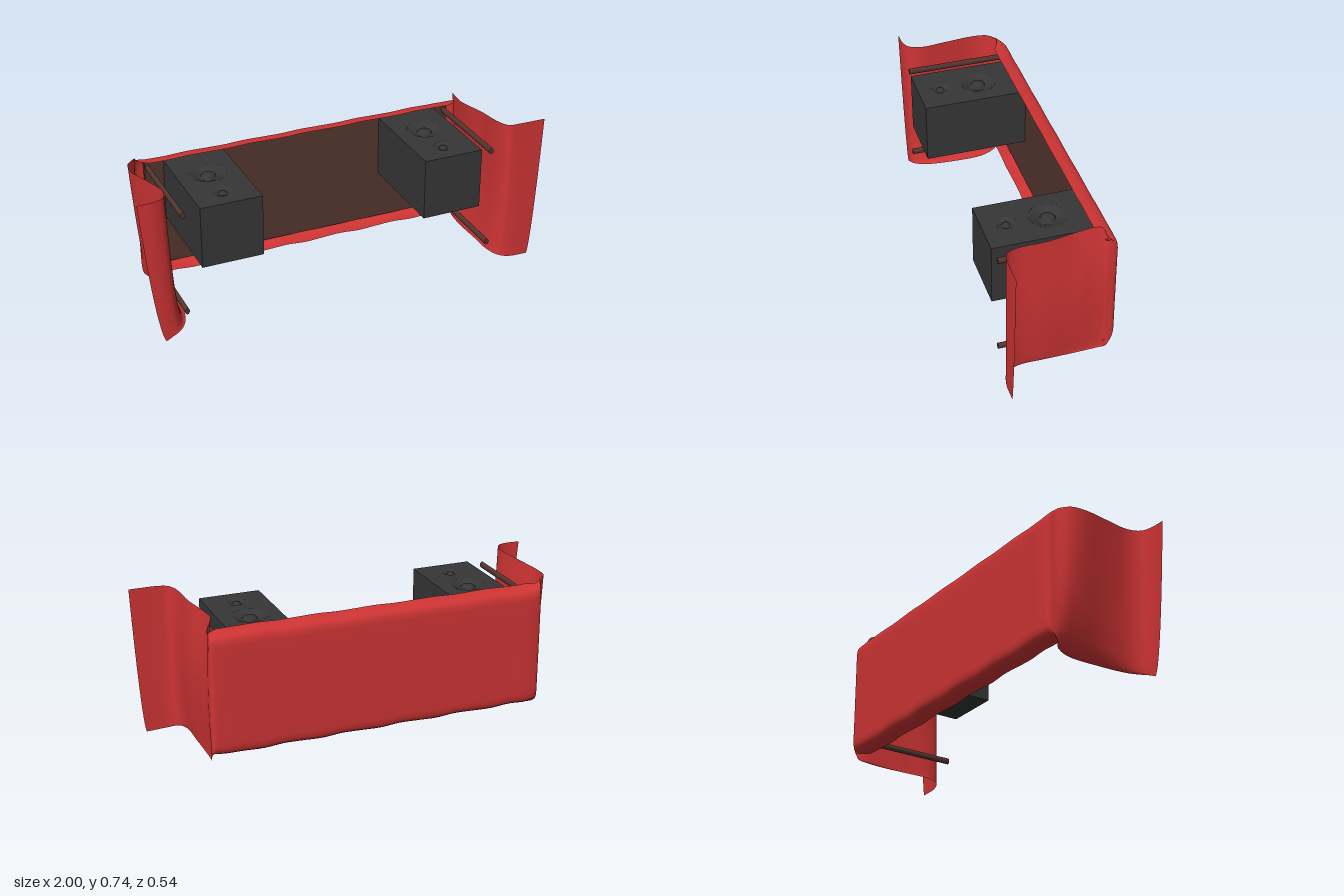
import * as THREE from 'three';

const red = new THREE.MeshStandardMaterial({ color: 0xcf3434, side: THREE.DoubleSide });
red.name = 'red cloth';
const brown = new THREE.MeshStandardMaterial({ color: 0x54352f });
brown.name = 'dark brown wood';
const black = new THREE.MeshStandardMaterial({ color: 0x363636 });
black.name = 'charcoal';

function add(parent, name, geometry, material, x = 0, y = 0, z = 0) {
  const mesh = new THREE.Mesh(geometry, material);
  mesh.name = name;
  mesh.position.set(x, y, z);
  parent.add(mesh);
  return mesh;
}

// Stations along the cloth: bottom x, y, z, then top x, y, z, then lip depth and sideways bulge
const rightDrape = [
  [-0.90, 0.0, 0.262, -1.0, 0.715, 0.262, 0, 0],
  [-0.87, 0.015, 0.26, -0.92, 0.717, 0.26, 0, 0],
  [-0.83, 0.03, 0.25, -0.875, 0.717, 0.24, 0, 0],
  [-0.79, 0.04, 0.2, -0.855, 0.715, 0.18, 0, 0],
  [-0.76, 0.05, 0.05, -0.88, 0.705, 0.05, 0, 0],
  [-0.765, 0.05, -0.1, -0.915, 0.69, -0.1, 0, 0],
  [-0.80, 0.055, -0.18, -0.905, 0.69, -0.17, 0, 0],
  [-0.845, 0.07, -0.23, -0.862, 0.69, -0.22, 0.01, 0],
  [-0.845, 0.085, -0.258, -0.845, 0.672, -0.258, 0.05, 0],
];
const leftDrape = [
  [0.78, 0.085, -0.262, 0.78, 0.662, -0.26, 0.05, 0],
  [0.785, 0.055, -0.238, 0.78, 0.68, -0.225, 0.01, 0.005],
  [0.775, 0.042, -0.19, 0.755, 0.72, -0.195, 0, 0.025],
  [0.77, 0.034, -0.1, 0.75, 0.717, -0.1, 0, 0.035],
  [0.772, 0.035, 0.05, 0.78, 0.722, 0.05, 0, 0.02],
  [0.775, 0.035, 0.18, 0.795, 0.73, 0.2, 0, 0.012],
  [0.80, 0.03, 0.24, 0.82, 0.732, 0.25, 0, 0.005],
  [0.85, 0.02, 0.26, 0.87, 0.735, 0.26, 0, 0],
  [0.95, 0.015, 0.262, 1.0, 0.735, 0.262, 0, 0],
];

function clothGeometry() {
  // Flat back with gently wavy upper and lower hems
  const back = [];
  for (let i = 0; i <= 16; i++) {
    const x = -0.8 + i * 0.0956;
    const wave = Math.sin(i * 2.1);
    back.push([x, 0.075 + wave * 0.004, -0.268, x, 0.666 - wave * 0.002, -0.267, 0.084, 0]);
  }
  const stations = [...rightDrape, ...back, ...leftDrape];
  const curve = (k) => new THREE.CatmullRomCurve3(
    stations.map((s) => new THREE.Vector3(s[k], s[k + 1], s[k + 2])), false, 'centripetal');
  const bottom = curve(0), top = curve(3);

  // Rows from lower hem to upper hem; the lip folds forward at both hems
  const half = [[0, 1], [0.004, 0.6], [0.012, 0.3], [0.03, 0.12], [0.06, 0.03], [0.1, 0]];
  const middle = [0.2, 0.3, 0.4, 0.5, 0.6, 0.7, 0.8].map((v) => [v, 0]);
  const rows = [...half, ...middle, ...half.map(([v, d]) => [1 - v, d]).reverse()];
  const steps = (stations.length - 1) * 5;
  const positions = [], index = [];
  for (let i = 0; i <= steps; i++) {
    const t = i / steps;
    const a = bottom.getPoint(t), b = top.getPoint(t);
    const s = Math.min(Math.floor(i / 5), stations.length - 2);
    const blend = (k) => THREE.MathUtils.lerp(stations[s][k], stations[s + 1][k], i / 5 - s);
    const lip = blend(6), bulge = blend(7);
    // The sides tuck in only near the lower hem; the front flanges curve more evenly
    const power = 0.35 + 0.25 * Math.pow(Math.abs(2 * t - 1), 8);
    rows.forEach(([v, d]) => {
      const bow = Math.pow(v, power);
      positions.push(
        THREE.MathUtils.lerp(a.x, b.x, bow) + bulge * Math.sin(Math.PI * v),
        THREE.MathUtils.lerp(a.y, b.y, v),
        THREE.MathUtils.lerp(a.z, b.z, bow) + lip * d);
    });
  }
  const n = rows.length;
  for (let i = 0; i < steps; i++) {
    for (let j = 0; j < n - 1; j++) {
      const p = i * n + j;
      index.push(p, p + 1, p + n, p + 1, p + n + 1, p + n);
    }
  }
  const geometry = new THREE.BufferGeometry();
  geometry.setAttribute('position', new THREE.Float32BufferAttribute(positions, 3));
  geometry.setIndex(index);
  geometry.computeVertexNormals();
  return geometry;
}

// Shallow bowl with a central dome, flush with the cabinet top
function driverGeometry(r) {
  const profile = [[1, 0], [0.88, -0.03], [0.7, -0.12], [0.52, -0.22], [0.42, -0.25],
    [0.4, -0.14], [0.32, -0.05], [0.18, 0], [0, 0.02]];
  return new THREE.LatheGeometry(profile.map(([x, y]) => new THREE.Vector2(x * r, y * r)), 32);
}

// Cabinet top panel with a round opening for each driver
function panelGeometry(width, depth, thickness, drivers) {
  const shape = new THREE.Shape();
  shape.moveTo(-width / 2, -depth / 2);
  shape.lineTo(width / 2, -depth / 2);
  shape.lineTo(width / 2, depth / 2);
  shape.lineTo(-width / 2, depth / 2);
  shape.closePath();
  for (const { z, r } of drivers) {
    shape.holes.push(new THREE.Path().absarc(0, -z, r, 0, Math.PI * 2, true));
  }
  return new THREE.ExtrudeGeometry(shape, { depth: thickness, bevelEnabled: false, curveSegments: 32 })
    .rotateX(-Math.PI / 2);
}

function speaker(x) {
  const group = new THREE.Group();
  group.name = 'speaker';
  const drivers = [{ name: 'woofer', z: -0.05, r: 0.085 }, { name: 'tweeter', z: 0.14, r: 0.046 }];
  add(group, 'cabinet', new THREE.BoxGeometry(0.293, 0.268, 0.5), black, 0, 0.479, 0);
  add(group, 'topPanel', panelGeometry(0.293, 0.5, 0.03, drivers), black, 0, 0.613, 0);
  for (const { name, z, r } of drivers) add(group, name, driverGeometry(r), black, 0, 0.643, z);
  group.position.set(x, 0, 0.02);
  return group;
}

export function createModel() {
  const model = new THREE.Group();
  model.name = 'draped table with speakers';

  add(model, 'tablecloth', clothGeometry(), red);
  add(model, 'tabletop', new THREE.BoxGeometry(1.55, 0.543, 0.022), brown, -0.035, 0.376, -0.24);

  // Four slim legs pointing forward
  const leg = new THREE.CylinderGeometry(0.011, 0.011, 0.49, 16).rotateX(Math.PI / 2).scale(1, 1.4, 1);
  for (const x of [-0.797, 0.725]) {
    for (const y of [0.13, 0.62]) add(model, 'tableLeg', leg, brown, x, y, 0.015);
  }

  model.add(speaker(-0.574), speaker(0.521));
  return model;
}
